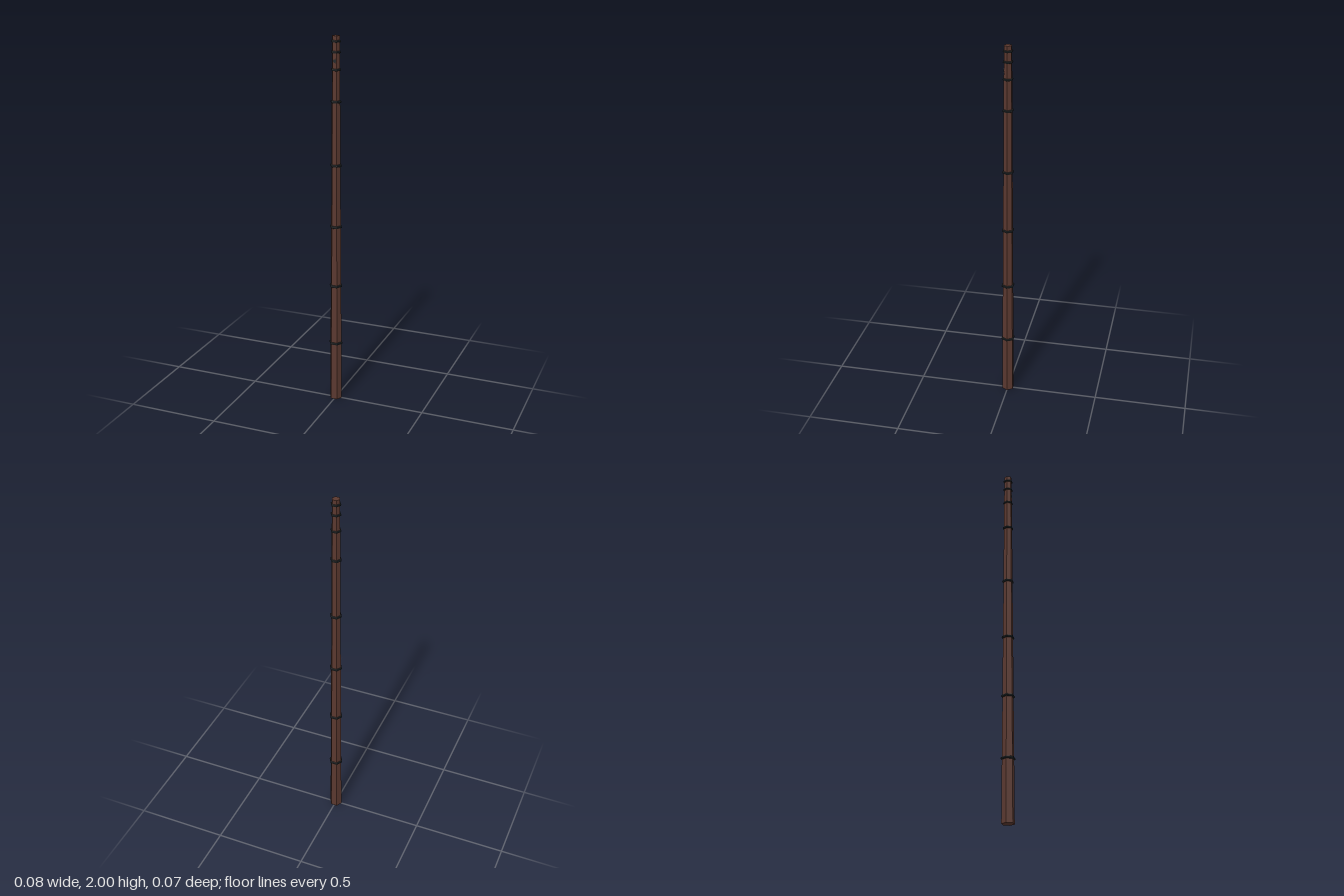
import * as THREE from 'three';

const wood = new THREE.MeshStandardMaterial({ color: 0x5a382f, flatShading: true });
const iron = new THREE.MeshStandardMaterial({ color: 0x22282a, flatShading: true });
const pale = new THREE.MeshStandardMaterial({ color: 0xcccccc });

const HEIGHT = 2, BASE = 0.034, TIP = 0.021;
// corner radius of the tapered shaft at height y
const radiusAt = (y) => BASE + (TIP - BASE) * (y / HEIGHT);

export function createModel() {
  const model = new THREE.Group();
  model.name = 'hexagonalStaff';
  const add = (name, geometry, material, parent = model) => {
    const mesh = new THREE.Mesh(geometry, material);
    mesh.name = name;
    parent.add(mesh);
    return mesh;
  };

  // six-sided tapered shaft, corners on the x axis
  const shaft = new THREE.CylinderGeometry(TIP, BASE, HEIGHT, 6);
  shaft.rotateY(Math.PI / 2).translate(0, HEIGHT / 2, 0);
  add('shaft', shaft, wood);

  // hexagonal bands, closer together towards the tip
  [0.333, 0.667, 1, 1.333, 1.667, 1.83, 1.918, 1.972].forEach((y, i) => {
    const tube = y > 1.8 ? 0.006 : 0.007;
    const band = new THREE.TorusGeometry(radiusAt(y), tube, 8, 6);
    band.rotateX(Math.PI / 2).translate(0, y, 0);
    add(`band${i + 1}`, band, iron);
  });

  // small peep hole on the front face, with four pale studs around it
  const y = 1.875;
  const peep = new THREE.Group();
  peep.name = 'peepHole';
  peep.position.set(0, y, radiusAt(y) * Math.cos(Math.PI / 6));
  model.add(peep);
  add('peepDisc', new THREE.CylinderGeometry(0.009, 0.009, 0.002, 16).rotateX(Math.PI / 2), iron, peep);
  for (let i = 0; i < 4; i++) {
    const a = Math.PI / 4 + i * Math.PI / 2;
    const stud = add('peepStud', new THREE.SphereGeometry(0.0015, 8, 6), pale, peep);
    stud.position.set(Math.cos(a) * 0.008, Math.sin(a) * 0.014, 0);
  }
  return model;
}
